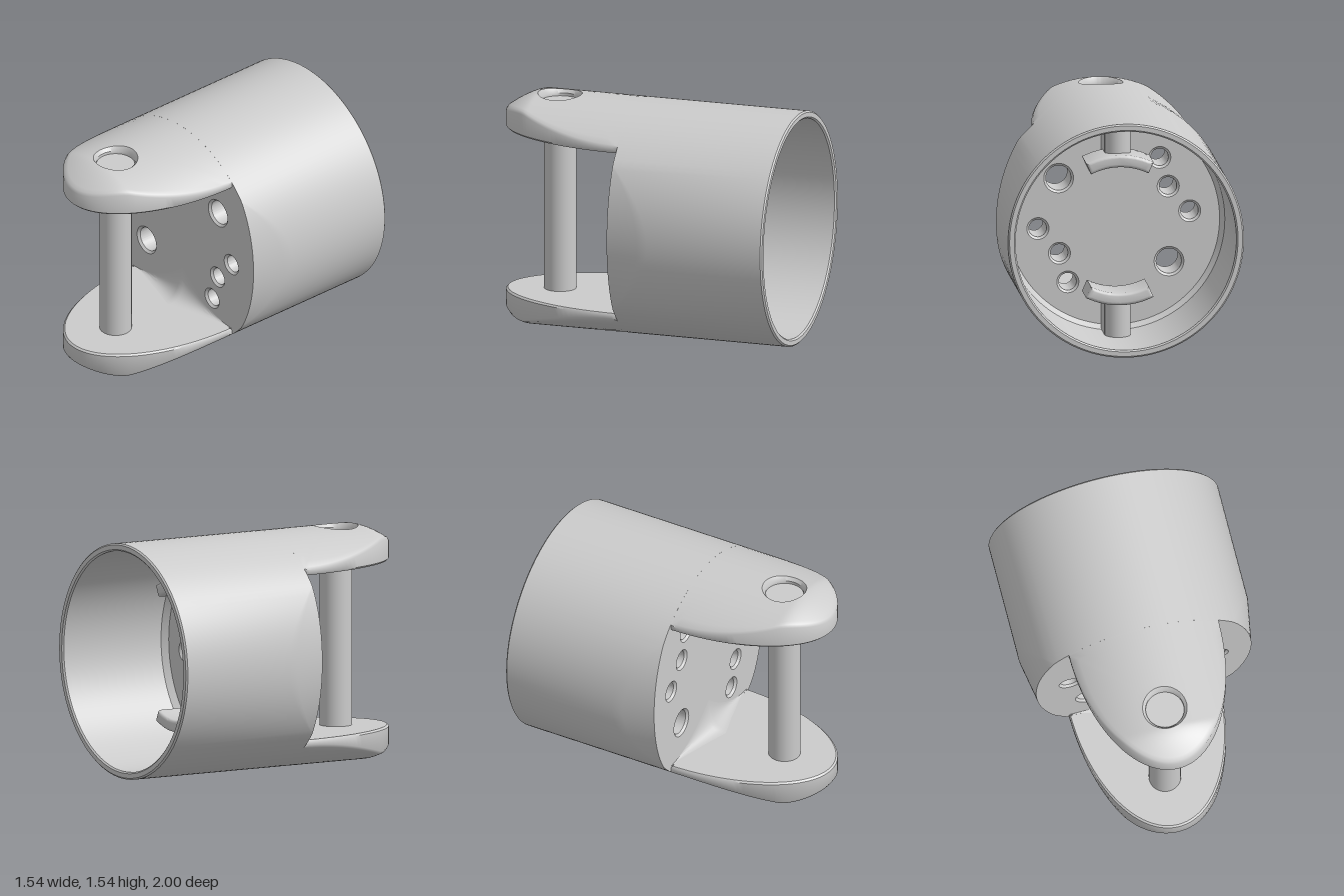
import * as THREE from 'three';
import { toCreasedNormals } from 'three/addons/utils/BufferGeometryUtils.js';

const R = 0.77;          // outer radius of the cup, its axis runs along z
const FRONT = 0.08;      // z of the cup's front face
const FLOOR = -0.2;      // z of the front wall's inner side
const PIN_Z = 0.645;

const material = new THREE.MeshStandardMaterial({ color: 0xcccccc });

function part(name, geometry, parent) {
  const mesh = new THREE.Mesh(geometry, material);
  mesh.name = name;
  parent.add(mesh);
  return mesh;
}

// Surface through nu + 1 columns of nv + 1 points; point(i, j) returns [x, y, z]
function surface(nu, nv, point, crease = 0.6) {
  const pos = [], index = [];
  for (let i = 0; i <= nu; i++) {
    for (let j = 0; j <= nv; j++) pos.push(...point(i, j));
  }
  for (let i = 0; i < nu; i++) {
    for (let j = 0; j < nv; j++) {
      const a = i * (nv + 1) + j, b = a + nv + 1;
      index.push(a, b, a + 1, b, b + 1, a + 1);
    }
  }
  const g = new THREE.BufferGeometry();
  g.setAttribute('position', new THREE.Float32BufferAttribute(pos, 3));
  g.setIndex(index);
  return toCreasedNormals(g, crease);
}

// Cup wall: round tube whose sides taper in toward the front
function cupWall() {
  const n = 128;
  const profile = (s) => {
    const front = 0.72 + 0.05 * Math.min(1, (s / 0.63) ** 2);
    const rows = [[0.675, FRONT], [front, FRONT]];
    const start = FRONT - (R - front) * 5.8;
    for (let k = 1; k <= 4; k++) {
      const t = k / 4;
      rows.push([front + (R - front) * t, FRONT + (start - 0.001 - FRONT) * t]);
    }
    rows.push([R, -0.99], [R - 0.01, -1], [0.73, -1], [0.72, -0.99],
      [0.72, FLOOR - 0.04], [0.69, FLOOR], [0.675, FLOOR]);
    return rows;
  };
  return surface(n, profile(0).length - 1, (i, j) => {
    const a = -2 * Math.PI * (i % n) / n;
    const [r, z] = profile(Math.abs(Math.sin(a)))[j];
    return [r * Math.cos(a), r * Math.sin(a), z];
  }, 0.45);
}

// Front wall with two rows of chamfered holes, point-symmetric about the axis
function frontWall() {
  const bevel = 0.015;
  const shape = new THREE.Shape().absarc(0, 0, 0.695, 0, 2 * Math.PI);
  const holes = [[-0.3, 0.405, 0.057], [-0.355, 0.215, 0.057],
    [-0.495, 0.05, 0.057], [-0.36, -0.28, 0.082]];
  for (const [x, y, r] of holes) {
    for (const s of [1, -1]) {
      shape.holes.push(new THREE.Path().absarc(s * x, s * y, r, 0, 2 * Math.PI, true));
    }
  }
  const g = new THREE.ExtrudeGeometry(shape, {
    depth: FRONT - FLOOR - 2 * bevel, curveSegments: 40, bevelEnabled: true,
    bevelSize: bevel, bevelThickness: bevel, bevelOffset: -bevel, bevelSegments: 1,
  });
  g.translate(0, 0, FLOOR + bevel);
  return toCreasedNormals(g, 0.5);
}

// Prong: half-elliptic tongue, top follows the cup, with a round recess.
// floor lists [radius, y] from the recess centre outward.
function prong(floor) {
  const outline = [];
  for (let k = 0; k < 72; k++) {
    const t = Math.PI * k / 72;
    outline.push([0.5 * Math.cos(t), FRONT + 0.92 * Math.sin(t)]);
  }
  for (let k = 0; k <= 16; k++) outline.push([-0.5 + k / 16, FRONT]);
  const top = (x, z) =>
    Math.sqrt(R * R - x * x) - 0.11 * (Math.max(0, z - 0.78) / 0.22) ** 1.5;
  const under = 0.54;
  const steps = 10;
  const column = ([ox, oz]) => {
    const dx = ox, dz = oz - PIN_Z, len = Math.hypot(dx, dz);
    const at = (r) => [dx / len * r, PIN_Z + dz / len * r];
    const col = [];
    const add = (r, y) => { const [x, z] = at(r); col.push([x, y ?? top(x, z), z]); };
    floor.forEach(([r, y]) => add(r, y));
    add(0.125, 0.735);
    for (let k = 0; k < steps; k++) add(0.145 + (len - 0.012 - 0.145) * k / (steps - 1));
    // rounded rim, upright edge and flat underside
    const edge = top(ox, oz), free = oz > FRONT + 0.001;
    add(len, free ? edge - 0.012 : edge);
    add(len, under + 0.012);
    add(len - 0.012, under);
    add(0, under);
    return col;
  };
  const cols = outline.map(column);
  return surface(cols.length - 1, cols[0].length - 1, (i, j) => cols[i][j], 0.7);
}

// Concave web in the corner between prong and front wall
function gusset() {
  const nu = 40, nv = 10;
  return surface(nu, nv, (i, j) => {
    const x = -0.5 + i / nu, t = j / nv;
    const k = 1 - Math.abs(x) / 0.5;
    const h = 0.22 * k * k, d = 0.14 * k;
    return [x, 0.541 - h * (1 - t) ** 2, FRONT + d * t * t];
  });
}

// Inner hook: short post from the cup wall carrying a curved plate
function hook(parent) {
  const g = new THREE.Group();
  g.name = 'hook';
  const post = part('hookPost', new THREE.BoxGeometry(0.17, 0.28, 0.26), g);
  post.position.set(0, 0.6, -0.32);
  const nose = part('hookPostNose', new THREE.CylinderGeometry(0.085, 0.085, 0.28, 32), g);
  nose.position.set(0, 0.6, -0.44);
  const a = 0.42, mid = Math.PI / 2;
  const section = new THREE.Shape();
  section.absarc(0, 0, 0.475, mid - a, mid + a, false);
  section.absarc(0, 0, 0.435, mid + a, mid - a, true);
  const plate = new THREE.ExtrudeGeometry(section, {
    depth: 0.27, curveSegments: 16, bevelEnabled: true,
    bevelSize: 0.02, bevelThickness: 0.02, bevelSegments: 3,
  });
  plate.translate(0, 0, -0.59);
  part('hookPlate', toCreasedNormals(plate, 0.7), g);
  parent.add(g);
}

export function createModel() {
  const model = new THREE.Group();
  model.name = 'prongedCup';
  const body = new THREE.Group();
  body.name = 'body';
  body.position.y = R;
  model.add(body);

  part('cupWall', cupWall(), body);
  part('frontWall', frontWall(), body);

  // Upper and lower halves, the lower one turned half around the axis
  const upperFloor = [[0, 0.715], [0.125, 0.715]];
  const lowerFloor = [[0, 0.65], [0.07, 0.65], [0.07, 0.715], [0.125, 0.715]];
  [['upperArm', upperFloor, 0], ['lowerArm', lowerFloor, Math.PI]].forEach(([name, floor, turn]) => {
    const arm = new THREE.Group();
    arm.name = name;
    arm.rotation.z = turn;
    part('prong', prong(floor), arm);
    part('gusset', gusset(), arm);
    hook(arm);
    body.add(arm);
  });

  // Pin joining the two prongs
  const pin = part('pin', new THREE.CylinderGeometry(0.105, 0.105, 1.1, 48), body);
  pin.position.z = PIN_Z;
  return model;
}
